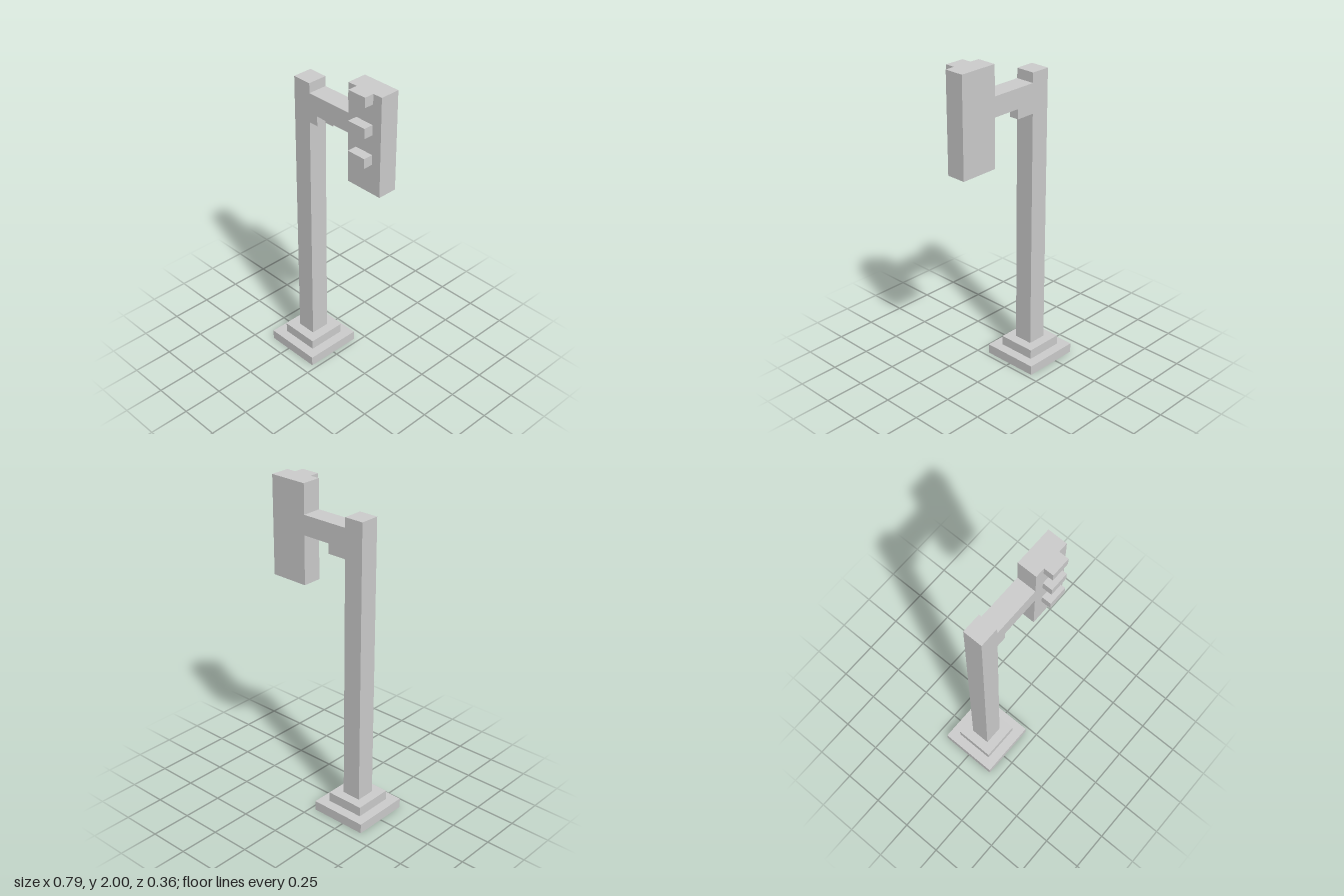
import * as THREE from 'three';

// The model sits on a block grid: 33 blocks tall, 13 wide, 6 deep.
const U = 2 / 33;
const CENTRE_X = 6.5;

export function createModel() {
  const model = new THREE.Group();
  model.name = 'signalPost';
  const material = new THREE.MeshStandardMaterial({ color: 0xcccccc, flatShading: true });

  // Adds a box given its extents in blocks: [min, max] along each axis.
  function block(name, [x0, x1], [y0, y1], [z0, z1], parent = model) {
    const geometry = new THREE.BoxGeometry((x1 - x0) * U, (y1 - y0) * U, (z1 - z0) * U);
    const mesh = new THREE.Mesh(geometry, material);
    mesh.name = name;
    mesh.position.set(((x0 + x1) / 2 - CENTRE_X) * U, ((y0 + y1) / 2) * U, ((z0 + z1) / 2) * U);
    parent.add(mesh);
  }

  // Stepped foot
  block('base', [0, 6], [0, 1], [-3, 3]);
  block('plinth', [1, 5], [1, 2], [-2, 2]);

  // Upright and the arm reaching out to the signal
  block('pole', [2, 4], [2, 31], [-1, 1]);
  block('arm', [4, 9], [28, 30], [-1, 1]);

  // L-shaped brace under the arm, longer at the back
  const brace = new THREE.Group();
  brace.name = 'brace';
  block('braceFront', [4, 5], [27, 28], [0, 1], brace);
  block('braceBack', [4, 6], [27, 28], [-1, 0], brace);
  model.add(brace);

  // Signal housing with a visor over each of its three lamps
  block('signalHousing', [9, 13], [23, 33], [-1, 1]);
  const visors = new THREE.Group();
  visors.name = 'visors';
  for (const y of [26, 29, 32]) block('visor', [10, 12], [y, y + 1], [1, 2], visors);
  model.add(visors);

  return model;
}
